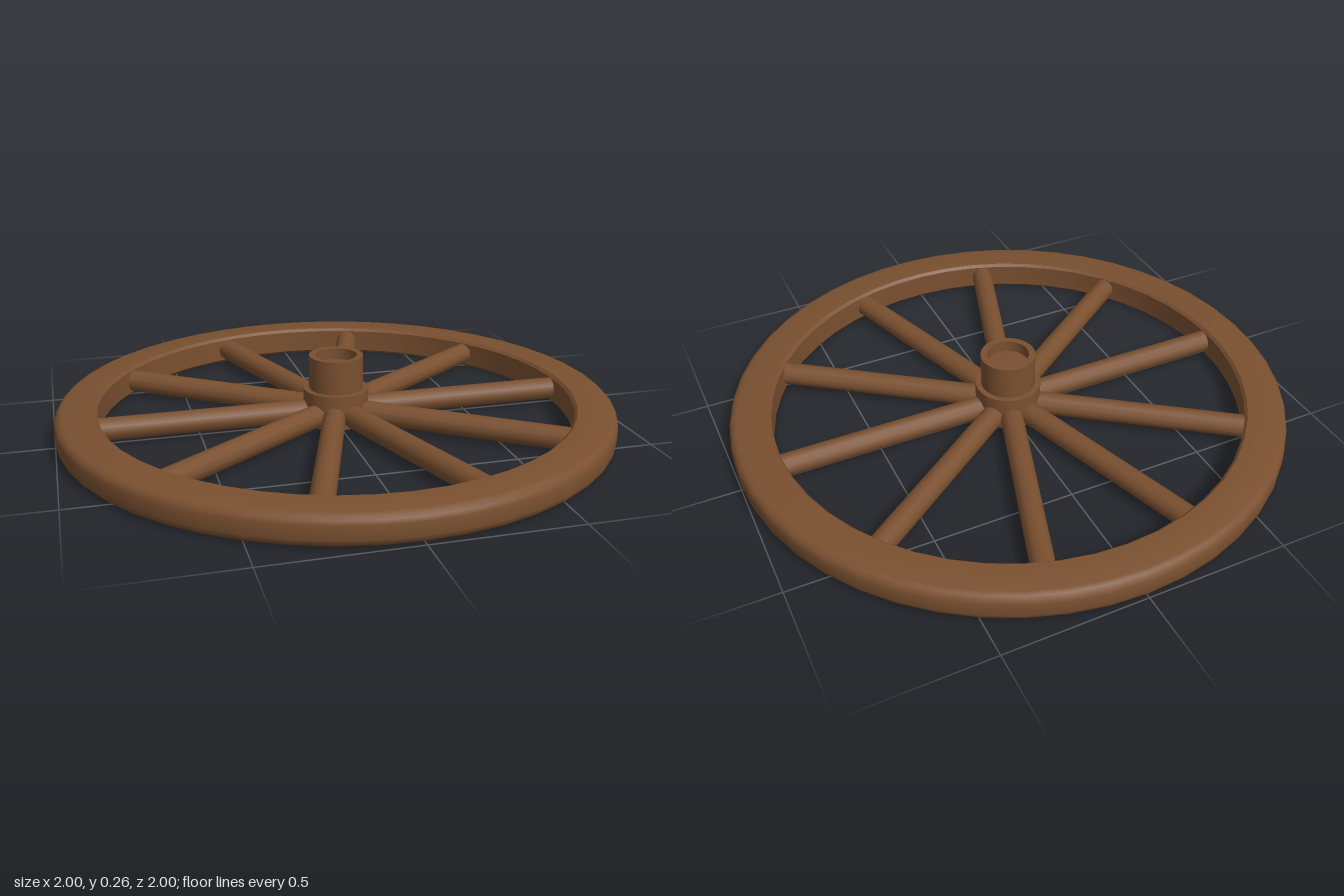
import * as THREE from 'three';
import { toCreasedNormals } from 'three/addons/utils/BufferGeometryUtils.js';

const wood = new THREE.MeshStandardMaterial({ color: 0x7a5030 });

// Turned part from [radius, height] points, listed bottom to top on the outside
function turned(name, profile, sides) {
  const points = profile.map(([r, y]) => new THREE.Vector2(r, y));
  const geometry = toCreasedNormals(new THREE.LatheGeometry(points, sides), 0.6);
  const mesh = new THREE.Mesh(geometry, wood);
  mesh.name = name;
  return mesh;
}

export function createModel() {
  const wheel = new THREE.Group();
  wheel.name = 'spokedWheel';

  // Rim: a band with rounded outer edges and small inner bevels
  wheel.add(turned('rim', [
    [0.862, 0], [0.97, 0], [0.985, 0.005], [0.996, 0.016], [1, 0.03],
    [1, 0.075], [0.996, 0.089], [0.985, 0.1], [0.97, 0.105],
    [0.862, 0.105], [0.852, 0.095], [0.852, 0.01], [0.862, 0],
  ], 48));

  // Hub: flange, raised collar and a shallow socket in its top
  wheel.add(turned('hub', [
    [0, 0.01], [0.118, 0.01], [0.118, 0.135], [0.098, 0.135],
    [0.098, 0.257], [0.075, 0.257], [0.075, 0.215], [0, 0.215],
  ], 32));

  // Ten round spokes running from the hub into the rim
  const count = 10, inner = 0.08, outer = 0.88;
  const spokeGeometry = new THREE.CylinderGeometry(0.041, 0.041, outer - inner, 12);
  spokeGeometry.rotateZ(-Math.PI / 2);
  spokeGeometry.translate((inner + outer) / 2, 0.053, 0);
  for (let i = 0; i < count; i++) {
    const spoke = new THREE.Mesh(spokeGeometry, wood);
    spoke.name = 'spoke' + (i + 1);
    spoke.rotation.y = (i / count) * Math.PI * 2;
    wheel.add(spoke);
  }

  return wheel;
}
